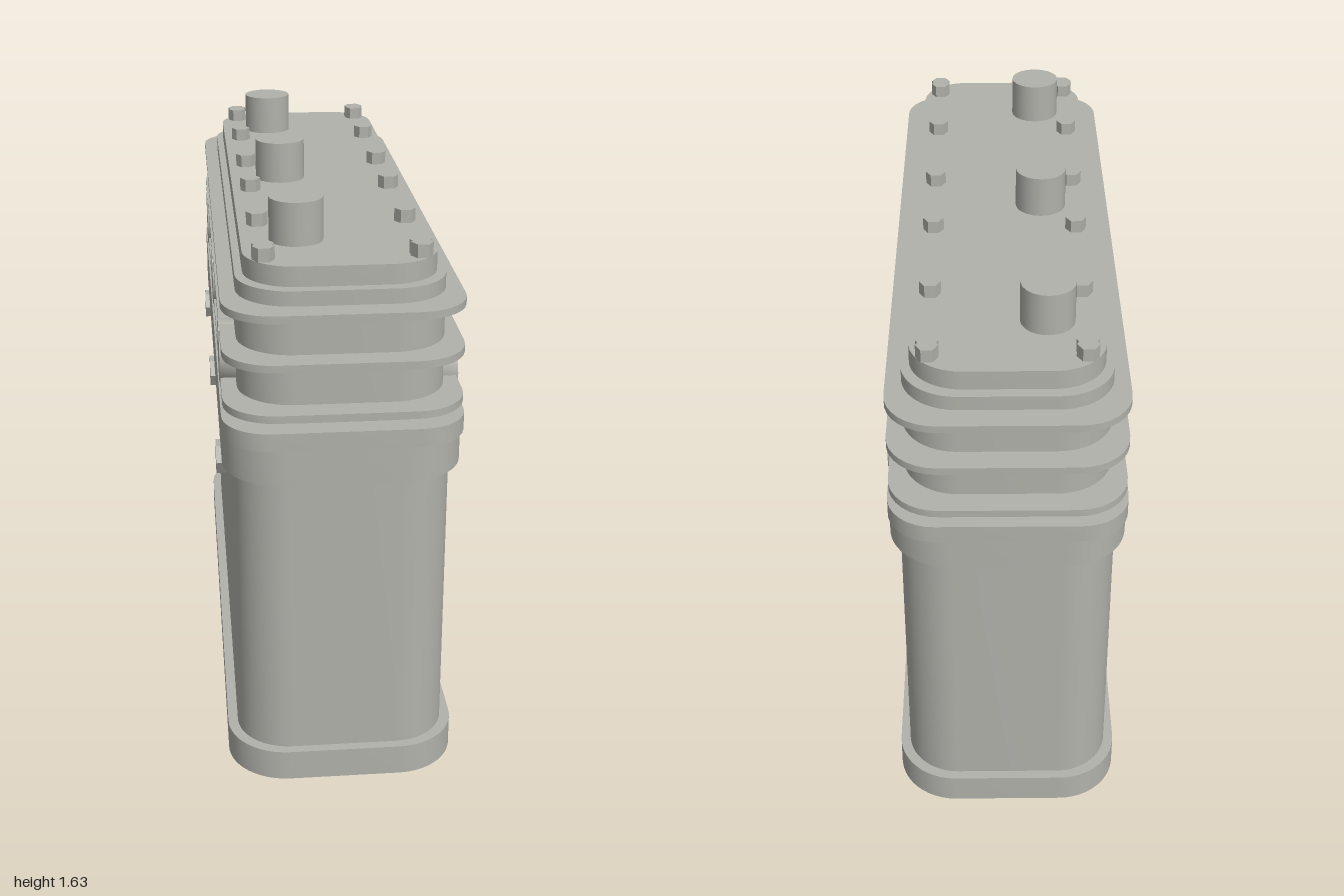
import * as THREE from 'three';
import { toCreasedNormals } from 'three/addons/utils/BufferGeometryUtils.js';

const CX = -0.008; // centre line of the housing

export function createModel() {
  const model = new THREE.Group();
  const metal = new THREE.MeshStandardMaterial({ color: 0xb2b2ac });
  metal.name = 'grey metal';

  const add = (name, geometry) => {
    const mesh = new THREE.Mesh(geometry, metal);
    mesh.name = name;
    model.add(mesh);
    return mesh;
  };

  // Upright extrusion of an outline drawn as (x, -z)
  const extrudeUp = (shape, y0, y1, curveSegments) => {
    const g = new THREE.ExtrudeGeometry(shape, { depth: y1 - y0, bevelEnabled: false, curveSegments });
    g.rotateX(-Math.PI / 2).translate(0, y0, 0);
    return toCreasedNormals(g, 0.7);
  };

  // Slab with rounded corners
  const slab = (name, halfX, halfZ, r, y0, y1, segments = 6, zMid = 0) => {
    const s = new THREE.Shape();
    const x = halfX - r, y = halfZ - r;
    s.absarc(x, y, r, 0, Math.PI / 2);
    s.absarc(-x, y, r, Math.PI / 2, Math.PI);
    s.absarc(-x, -y, r, Math.PI, Math.PI * 1.5);
    s.absarc(x, -y, r, Math.PI * 1.5, Math.PI * 2);
    s.closePath();
    return add(name, extrudeUp(s, y0, y1, segments)).position.set(CX, 0, zMid);
  };

  // Lower case
  slab('baseFlange', 0.326, 0.978, 0.17, 0, 0.09);
  slab('caseBody', 0.298, 0.95, 0.15, 0.09, 0.93, 8);
  slab('caseCollar', 0.326, 0.978, 0.17, 0.93, 1.037);
  slab('headFlange', 0.326, 0.995, 0.13, 1.037, 1.088, 4, -0.004);

  // Finned head
  slab('headCore', 0.28, 0.927, 0.15, 1.088, 1.455);
  slab('headTop', 0.259, 0.894, 0.14, 1.455, 1.51);
  for (const y of [1.12, 1.26, 1.393]) slab('coolingFin', 0.322, 0.997, 0.14, y, y + 0.021, 4);

  // Rounded rib on the left side
  const rib = new THREE.Shape();
  rib.moveTo(0.27, -0.447);
  rib.lineTo(0.3, -0.447);
  rib.quadraticCurveTo(0.345, -0.44, 0.345, -0.385);
  rib.lineTo(0.345, -0.269);
  rib.quadraticCurveTo(0.345, -0.214, 0.3, -0.207);
  rib.lineTo(0.27, -0.207);
  rib.closePath();
  add('sideRib', extrudeUp(rib, 0.053, 1.023, 6));

  // Cylinder lying along x between two positions
  const sideDisc = (name, r, x0, x1, y, z, sides) => {
    const g = new THREE.CylinderGeometry(r, r, x1 - x0, sides);
    g.rotateZ(Math.PI / 2);
    add(name, toCreasedNormals(g, 0.7)).position.set((x0 + x1) / 2, y, z);
  };

  // Ports, side bolts and top posts, one set per bay
  for (const z of [-0.653, 0, 0.653]) {
    sideDisc('leftPort', 0.105, 0.25, 0.32, 1.144, z, 14);
    sideDisc('rightPort', 0.089, -0.332, -0.26, 1.196, z, 14);
    sideDisc('sideBolt', 0.048, -0.347, -0.317, 0.875, z, 6);
    add('topPost', new THREE.CylinderGeometry(0.074, 0.074, 0.12, 20)).position.set(-0.116, 1.57, z);
  }

  // Hexagonal head bolts, doubled at the corners
  const bolt = toCreasedNormals(new THREE.CylinderGeometry(0.03, 0.03, 0.038, 6).rotateY(Math.PI / 2), 0.7);
  for (const x of [-0.214, 0.2]) {
    for (const z of [-0.826, -0.803, -0.51, -0.15, 0.144, 0.505, 0.803, 0.826]) {
      add('headBolt', bolt).position.set(x, 1.528, z);
    }
  }
  return model;
}
